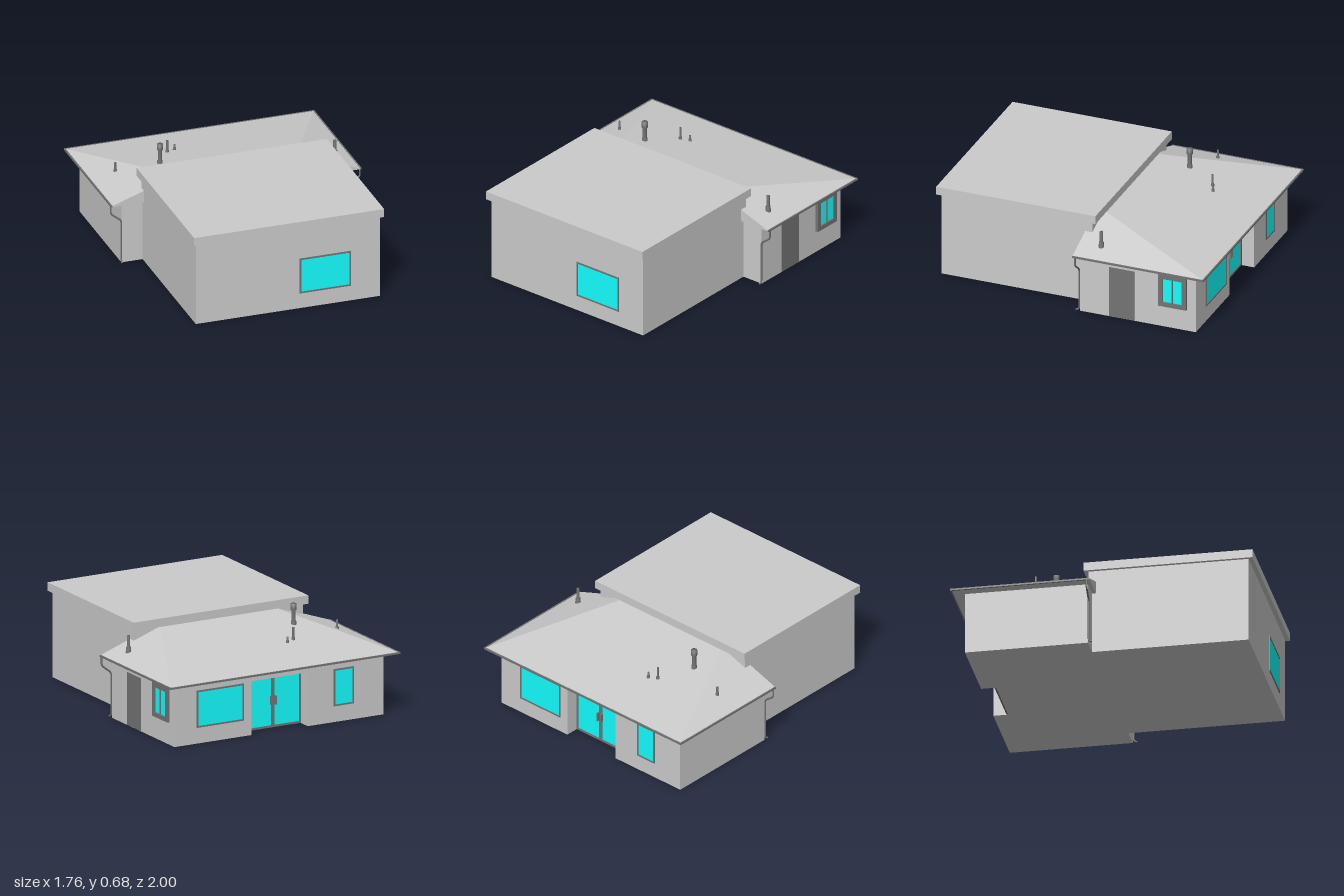
import * as THREE from 'three';

const material = (color) => new THREE.MeshStandardMaterial({ color });
const grey = material(0xcccccc);
const dark = material(0x747474);
const glass = material(0x14ffff);

export function createModel() {
  const house = new THREE.Group();
  house.name = 'house';

  const add = (name, geometry, mat, parent = house) => {
    const mesh = new THREE.Mesh(geometry, mat);
    mesh.name = name;
    parent.add(mesh);
    return mesh;
  };
  // Box given by its extents on each axis
  const box = (name, mat, [x0, x1], [y0, y1], [z0, z1], parent = house) => {
    const mesh = add(name, new THREE.BoxGeometry(x1 - x0, y1 - y0, z1 - z0), mat, parent);
    mesh.position.set((x0 + x1) / 2, (y0 + y1) / 2, (z0 + z1) / 2);
    return mesh;
  };

  // Front block with its flat slab roof
  box('frontBlock', grey, [-0.65, 0.645], [0, 0.595], [-0.11, 0.97]);
  box('slabRoof', grey, [-0.672, 0.664], [0.59, 0.648], [-0.14, 1]);

  // Rear block: floor plan with an entrance recess, closed above by a lintel band
  const plan = new THREE.Shape([
    [-0.8, 0.085], [0.8, 0.085], [0.8, 0.915], [0.21, 0.915],
    [0.21, 0.815], [-0.22, 0.815], [-0.22, 0.915], [-0.8, 0.915],
  ].map(([x, y]) => new THREE.Vector2(x, y)));
  const walls = new THREE.ExtrudeGeometry(plan, { depth: 0.37, bevelEnabled: false });
  walls.rotateX(-Math.PI / 2);
  add('rearWalls', walls, grey);
  box('lintelBand', grey, [-0.8, 0.8], [0.37, 0.43], [-0.915, -0.085]);

  // Hipped roof, cut off vertically at the front
  const A = [-0.875, 0.434, -1], B = [0.875, 0.434, -1];
  const C = [0.875, 0.434, -0.06], D = [-0.875, 0.434, -0.06];
  const P = [0.42, 0.594, -0.06], Q = [-0.42, 0.594, -0.06];
  const quad = (a, b, c, d) => [a, b, c, a, c, d];
  const faces = [quad(A, Q, P, B), [B, P, C], [D, Q, A], quad(D, C, P, Q), quad(A, B, C, D)];
  const roof = new THREE.BufferGeometry();
  roof.setAttribute('position', new THREE.Float32BufferAttribute(faces.flat(2), 3));
  roof.computeVertexNormals();
  add('hippedRoof', roof, grey);

  // Soffit and gutters along the eaves
  box('soffit', grey, [-0.872, 0.872], [0.427, 0.434], [-0.997, -0.062]);
  box('rearGutter', dark, [-0.88, 0.88], [0.425, 0.437], [-1, -0.99]);

  for (const side of [-1, 1]) {
    const gutter = box('sideGutter', dark, [-0.005, 0.005], [0.425, 0.437], [-1, -0.06]);
    gutter.position.x = side * 0.875;
    // Downpipe: drops from the gutter, bends to the wall, kicks out at the foot
    const path = new THREE.CurvePath();
    const points = [
      [0.875, 0.43, -0.08], [0.875, 0.375, -0.08], [0.865, 0.36, -0.08], [0.81, 0.318, -0.08],
      [0.802, 0.3, -0.08], [0.802, 0.025, -0.08], [0.802, 0.012, -0.074], [0.802, 0.006, -0.056],
    ].map(([x, y, z]) => new THREE.Vector3(side * x, y, z));
    for (let i = 1; i < points.length; i++) path.add(new THREE.LineCurve3(points[i - 1], points[i]));
    add('downpipe', new THREE.TubeGeometry(path, 80, 0.006, 8), dark);
  }

  // Framed pane facing +z, centred on its own origin
  const windowUnit = (name, w, h, border, depth, mullion = 0) => {
    const unit = new THREE.Group();
    unit.name = name;
    const [x, y] = [w / 2, h / 2];
    for (const s of [-1, 1]) {
      const jamb = box('frameJamb', dark, [0, border], [-y, y], [0, depth], unit);
      jamb.position.x = s * (x - border / 2);
      const rail = box('frameRail', dark, [-x + border, x - border], [0, border], [0, depth], unit);
      rail.position.y = s * (y - border / 2);
    }
    box('pane', glass, [-x + border, x - border], [-y + border, y - border], [0, depth * 0.5], unit);
    if (mullion) box('mullion', dark, [-mullion / 2, mullion / 2], [-y + border, y - border], [0, depth * 0.9], unit);
    house.add(unit);
    return unit;
  };

  windowUnit('frontWindow', 0.36, 0.255, 0.011, 0.006).position.set(0.26, 0.237, 0.969);

  const sideWindow = windowUnit('sideWindow', 0.2, 0.235, 0.031, 0.021, 0.008);
  sideWindow.position.set(0.799, 0.274, -0.752);
  sideWindow.rotation.y = Math.PI / 2;
  box('sideDoor', dark, [0.79, 0.804], [0.003, 0.366], [-0.475, -0.295]);

  const rearWindow = (name, x, w) => {
    const unit = windowUnit(name, w, 0.255, 0.011, 0.006);
    unit.position.set(x, 0.237, -0.914);
    unit.rotation.y = Math.PI;
  };
  rearWindow('wideRearWindow', 0.45, 0.36);
  rearWindow('narrowRearWindow', -0.495, 0.155);

  // Double glass doors in the recess, with pull handles
  const doors = windowUnit('glassDoors', 0.43, 0.366, 0.014, 0.012, 0.026);
  doors.position.set(-0.005, 0.185, -0.814);
  doors.rotation.y = Math.PI;
  for (const s of [-1, 1]) {
    const handle = box('doorHandle', dark, [-0.006, 0.006], [-0.025, 0.035], [0.008, 0.03], doors);
    handle.position.x = s * 0.014;
  }

  // Roof vents: profile radii and heights turned about the vertical
  const vent = (name, x, z, profile) => {
    const points = profile.map(([r, y]) => new THREE.Vector2(r, y));
    add(name, new THREE.LatheGeometry(points, 14).toNonIndexed(), dark).position.set(x, 0, z);
  };
  const pipe = (r, base, collar, top) => [
    [r * 1.7, base], [r * 1.5, collar], [r, collar + 0.004], [r, top], [0, top],
  ];
  vent('chimneyVent', -0.428, -0.368, [
    [0.019, 0.53], [0.018, 0.56], [0.014, 0.565], [0.014, 0.642],
    [0.021, 0.642], [0.021, 0.682], [0, 0.682],
  ]);
  vent('sideVent', 0.748, -0.217, [
    [0.02, 0.465], [0.016, 0.512], [0.011, 0.516], [0.011, 0.59], [0, 0.59],
  ]);
  vent('tallPipe', -0.3, -0.585, pipe(0.007, 0.49, 0.52, 0.59));
  vent('shortPipe', -0.24, -0.612, pipe(0.007, 0.485, 0.515, 0.54));
  vent('leftPipe', -0.712, -0.453, pipe(0.007, 0.48, 0.505, 0.553));

  return house;
}
